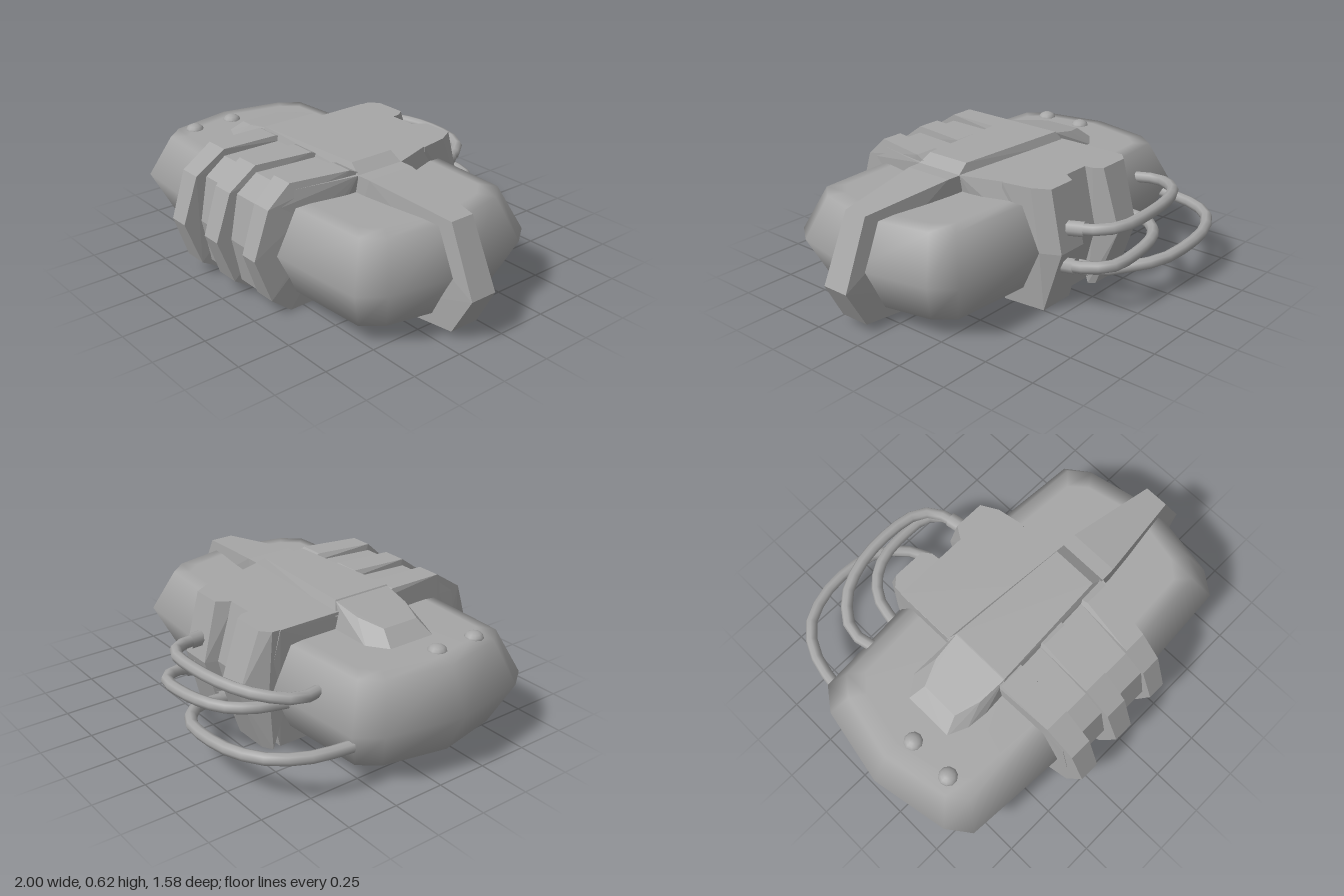
import * as THREE from 'three';
import { ConvexGeometry } from 'three/addons/geometries/ConvexGeometry.js';

const grey = new THREE.MeshStandardMaterial({ color: 0xa6a6a6 });
grey.name = 'metal grey';

export function createModel() {
  const model = new THREE.Group();
  const add = (name, geometry) => {
    const mesh = new THREE.Mesh(geometry, grey);
    mesh.name = name;
    model.add(mesh);
    return mesh;
  };
  // faceted solid around a few corner points
  const hull = (name, pts) => add(name, new ConvexGeometry(pts.map(p => new THREE.Vector3(...p))));
  // an edge that runs along z (x, y, zBack, zFront) or along x (z, y, xRight, xLeft)
  const alongZ = ([x, y, a, b]) => [[x, y, a], [x, y, b]];
  const alongX = ([z, y, a, b]) => [[a, y, z], [b, y, z]];

  add('body', bodyGeometry());

  // wrap-around band
  hull('band', [
    [-0.36, 0.58, -0.35, 0.02], [-0.3, 0.58, -0.34, 0.25], [0, 0.58, -0.34, 0.35], [0.25, 0.58, -0.34, 0.35],
    [0.56, 0.575, -0.34, 0.28], [0.66, 0.5, -0.34, 0.27], [0.7, 0.29, -0.34, 0.26],
    [0.66, 0.08, -0.34, 0.26], [0.56, 0, -0.34, 0.27], [-0.36, 0, -0.34, 0.25], [-0.43, 0.29, -0.34, 0.26],
  ].flatMap(alongX));

  // front ribs: [right edge, left edge at the top, slant toward the front, front z]
  const ribs = [[-0.35, -0.2, 0, 0.785], [-0.08, 0.07, -0.025, 0.77], [0.2, 0.34, -0.045, 0.745]];
  ribs.forEach(([a, b, s, z]) => hull('frontRib', [
    [0.2, 0.575, a, b], [0.28, 0.607, a + 0.01, b - 0.01],
    [0.56, 0.607, a + s + 0.01, b + s - 0.02], [z - 0.075, 0.51, a + s + 0.015, b + s - 0.025],
    [z, 0.29, a + s + 0.02, b + s - 0.03], [z - 0.075, 0.08, a + s + 0.01, b + s - 0.02],
    [0.57, 0, a + s, b + s - 0.02], [0.3, 0.005, a + s, b + s - 0.02],
  ].flatMap(alongX)));

  // rear blocks
  hull('rearBlock', [
    [-0.2, 0.58, -0.345, -0.09], [-0.4, 0.58, -0.345, -0.11], [-0.44, 0.58, -0.3, -0.14],
    [-0.535, 0.29, -0.28, -0.14], [-0.43, 0, -0.3, -0.12], [-0.4, 0, -0.345, -0.1], [-0.42, 0.29, -0.345, -0.1],
  ].flatMap(alongX));
  hull('rearBlock', [
    [-0.2, 0.58, 0.01, 0.29], [-0.34, 0.58, 0.02, 0.265], [-0.42, 0.58, 0.07, 0.22],
    [-0.49, 0.29, 0.07, 0.23], [-0.41, 0, 0.06, 0.25], [-0.4, 0.29, 0.04, 0.275], [-0.2, 0, 0.02, 0.27],
  ].flatMap(alongX));

  // raised spine on top
  hull('spinePlate', [
    [-0.35, 0.56, -0.06, 0.29], [-0.31, 0.62, -0.03, 0.27],
    [0.29, 0.62, 0.01, 0.235], [0.355, 0.575, 0, 0.25],
  ].flatMap(alongZ));
  hull('spineTail', [
    [-0.66, 0.49, 0, 0.25], [-0.57, 0.49, -0.065, 0.29], [-0.47, 0.49, -0.06, 0.3],
    [-0.57, 0.56, 0.03, 0.22], [-0.45, 0.585, -0.02, 0.26], [-0.31, 0.615, -0.03, 0.27],
    [-0.31, 0.49, -0.06, 0.29],
  ].flatMap(alongZ));

  // side arm folding down over the end
  hull('sideArm', [
    [0.28, 0.58, -0.005, 0.25], [0.42, 0.58, 0, 0.245], [0.86, 0.53, 0.065, 0.185],
    [1, 0.22, 0.055, 0.19], [0.9, 0.04, 0.05, 0.2], [0.26, 0.02, -0.02, 0.28],
  ].flatMap(alongZ));
  hull('lowerStub', [
    [-0.4, 0.09, -0.01, 0.27], [-0.4, 0.03, 0.01, 0.25], [-0.3, 0.002, -0.02, 0.28], [-0.3, 0.1, -0.02, 0.28],
  ].flatMap(alongZ));

  // rear cables
  const cables = [
    [[-0.82, 0.23, -0.34], [-0.79, 0.23, -0.52], [-0.7, 0.23, -0.67], [-0.55, 0.22, -0.745], [-0.38, 0.21, -0.765],
      [-0.2, 0.19, -0.735], [-0.08, 0.17, -0.64], [-0.02, 0.14, -0.53], [-0.01, 0.12, -0.38]],
    [[-0.58, 0.38, -0.33], [-0.6, 0.39, -0.45], [-0.5, 0.41, -0.59], [-0.35, 0.42, -0.66], [-0.15, 0.42, -0.685],
      [0.02, 0.41, -0.665], [0.1, 0.4, -0.6], [0.15, 0.38, -0.42]],
    [[-0.41, 0.26, -0.37], [-0.38, 0.27, -0.52], [-0.3, 0.27, -0.62], [-0.2, 0.27, -0.67], [-0.05, 0.26, -0.69],
      [0.1, 0.25, -0.675], [0.17, 0.24, -0.59], [0.17, 0.21, -0.43]],
  ];
  for (const pts of cables) {
    const curve = new THREE.CatmullRomCurve3(pts.map(p => new THREE.Vector3(...p)));
    add('cable', new THREE.TubeGeometry(curve, 14, 0.028, 8));
    const n = pts.length;
    const socket = new THREE.LineCurve3(curve.getPoint(1), curve.getPoint(1 - 0.7 / n));
    add('cableSocket', new THREE.TubeGeometry(socket, 1, 0.037, 8));
  }

  // two round studs
  for (const z of [0.16, 0.38]) {
    const stud = add('stud', new THREE.SphereGeometry(0.045, 10, 8));
    stud.scale.y = 0.7;
    stud.position.set(-0.77, 0.495, z);
  }
  return model;
}

// smooth pod: one outline stacked in scaled rings from bottom to top
function bodyGeometry() {
  const quarter = [[1, 0], [0.925, 0.73], [0.84, 0.94], [0.33, 1]];
  const half = [...quarter, ...quarter.slice(1).reverse().map(([x, z]) => [-x, z])];
  const outline = [...half, ...half.map(([x, z]) => [-x, -z])];
  const rings = [ // y, x scale, z scale
    [0.083, 0, 0], [0.083, 0.82, 0.7], [0.088, 0.9, 0.82], [0.29, 1, 1],
    [0.493, 0.9, 0.82], [0.5, 0.82, 0.7], [0.5, 0, 0],
  ];
  const pos = [], index = [], n = outline.length;
  rings.forEach(([y, sx, sz], r) => outline.forEach(([x, z], i) => {
    pos.push(-0.045 + x * sx * 0.955, y, 0.12 + z * sz * 0.52);
    if (r === 0) return;
    const j = (i + 1) % n, a = (r - 1) * n, b = r * n;
    index.push(a + i, b + i, a + j, a + j, b + i, b + j);
  }));
  const g = new THREE.BufferGeometry();
  g.setAttribute('position', new THREE.Float32BufferAttribute(pos, 3));
  g.setIndex(index);
  g.computeVertexNormals();
  return g;
}
